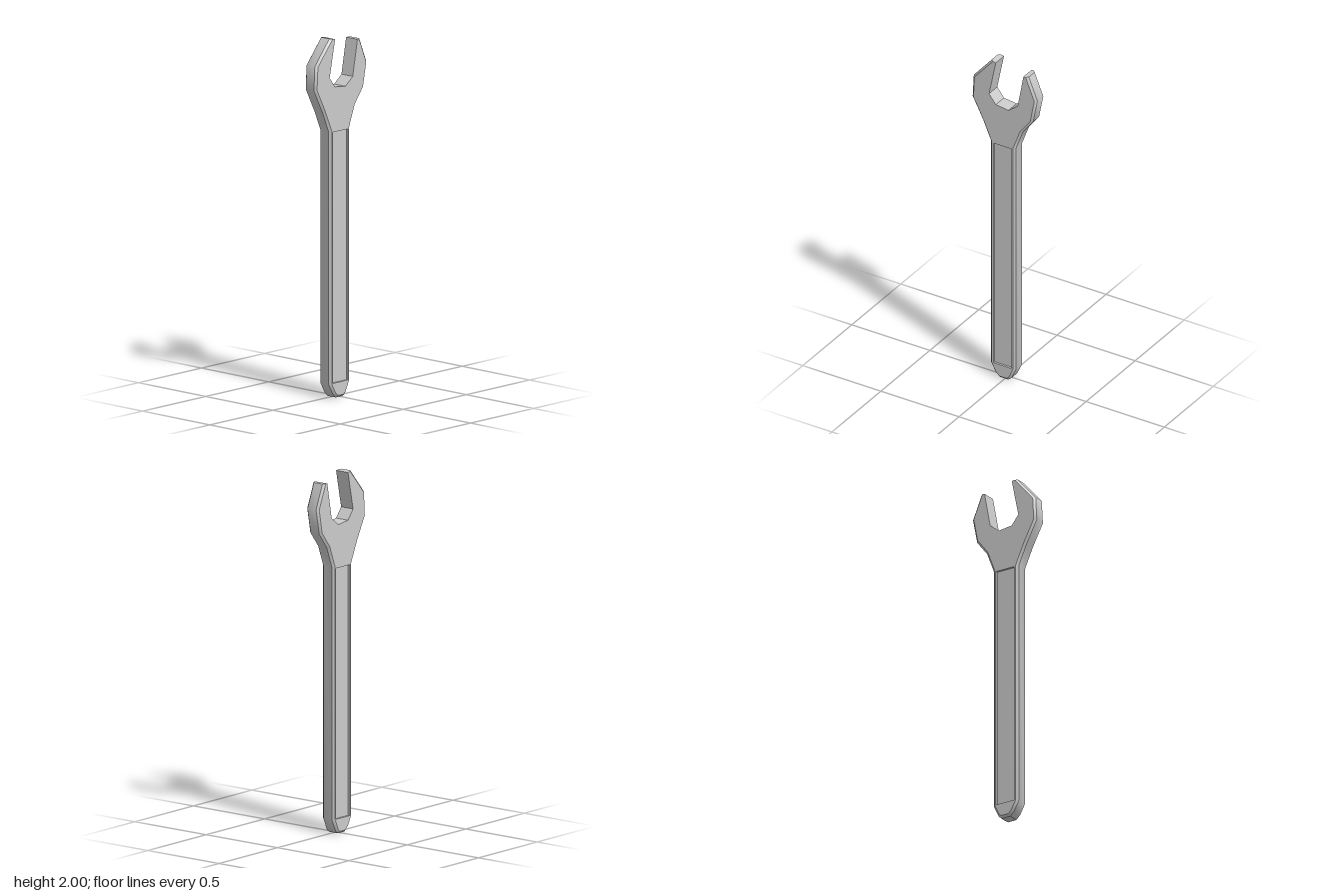
import * as THREE from 'three';
import { toCreasedNormals } from 'three/addons/utils/BufferGeometryUtils.js';

const HALF = 0.042, BEVEL = 0.012, DEPTH = 0.012;

// Counter-clockwise outline: handle end, right jaw, mouth, left jaw
const outline = [
  [0.02, 0], [0.04, 0.015], [0.07, 0.08], [0.07, 1.485], [0.115, 1.605],
  [0.18, 1.69], [0.207, 1.83], [0.152, 1.965],
  [0.125, 1.965], [0.088, 1.765], [0.03, 1.72], [-0.052, 1.73], [-0.095, 1.785], [-0.052, 1.995],
  [-0.085, 2], [-0.2, 1.865], [-0.207, 1.73], [-0.14, 1.6], [-0.09, 1.485],
  [-0.09, 0.08], [-0.06, 0.025], [-0.035, 0],
];
// Edges 7..13 are the jaw tips and the mouth, which stay square
const insetOf = i => (i >= 7 && i <= 13 ? 0 : BEVEL);

// Shift every edge inward by its own inset and intersect neighbours
function insetRing(pts) {
  const n = pts.length;
  const normal = i => {
    const a = pts[i], b = pts[(i + 1) % n];
    const dx = b[0] - a[0], dy = b[1] - a[1], l = Math.hypot(dx, dy);
    return [-dy / l, dx / l];
  };
  return pts.map(([x, y], i) => {
    const j = (i + n - 1) % n, p = normal(j), q = normal(i);
    const dp = insetOf(j), dq = insetOf(i), det = p[0] * q[1] - p[1] * q[0];
    return [x + (dp * q[1] - dq * p[1]) / det, y + (p[0] * dq - q[0] * dp) / det];
  });
}

// Strips joining successive rings, each given as { pts, z }
function strips(rings) {
  const pos = [];
  for (let k = 0; k + 1 < rings.length; k++) {
    const lo = rings[k], hi = rings[k + 1], n = lo.pts.length;
    for (let i = 0; i < n; i++) {
      const j = (i + 1) % n;
      const a = [...lo.pts[i], lo.z], b = [...lo.pts[j], lo.z];
      const c = [...hi.pts[j], hi.z], d = [...hi.pts[i], hi.z];
      pos.push(...a, ...b, ...c, ...a, ...c, ...d);
    }
  }
  const geo = new THREE.BufferGeometry();
  geo.setAttribute('position', new THREE.Float32BufferAttribute(pos, 3));
  return toCreasedNormals(geo, THREE.MathUtils.degToRad(40));
}

export function createModel() {
  const group = new THREE.Group();
  group.name = 'openEndWrench';
  const material = new THREE.MeshStandardMaterial({ color: 0xcccccc });
  const add = (name, geometry) => {
    const mesh = new THREE.Mesh(geometry, material);
    mesh.name = name;
    group.add(mesh);
  };

  // Rim with a chamfer on both outer edges
  const inner = insetRing(outline);
  add('rim', strips([
    { pts: inner, z: -HALF }, { pts: outline, z: -HALF + BEVEL },
    { pts: outline, z: HALF - BEVEL }, { pts: inner, z: HALF },
  ]));

  // Flat faces, each with a sunken panel in the handle
  const x0 = -0.067, x1 = 0.05, y0 = 0.085, y1 = 1.48;
  const panel = [[x0, y0], [x0, y1], [x1, y1], [x1, y0]];
  for (const side of [1, -1]) {
    const label = side > 0 ? 'front' : 'back';
    const toVectors = pts => pts.map(([x, y]) => new THREE.Vector2(x * side, y));
    const turn = side > 0 ? 0 : Math.PI;

    const shape = new THREE.Shape(toVectors(inner));
    shape.holes.push(new THREE.Path(toVectors(panel)));
    add(label + 'Face', new THREE.ShapeGeometry(shape).translate(0, 0, HALF).rotateY(turn));

    const zs = [side * HALF, side * (HALF - DEPTH)].sort((a, b) => a - b);
    add(label + 'PanelWalls', strips(zs.map(z => ({ pts: panel, z }))));

    add(label + 'PanelFloor', new THREE.PlaneGeometry(x1 - x0, y1 - y0)
      .rotateY(turn)
      .translate((x0 + x1) / 2, (y0 + y1) / 2, side * (HALF - DEPTH)));
  }
  return group;
}
